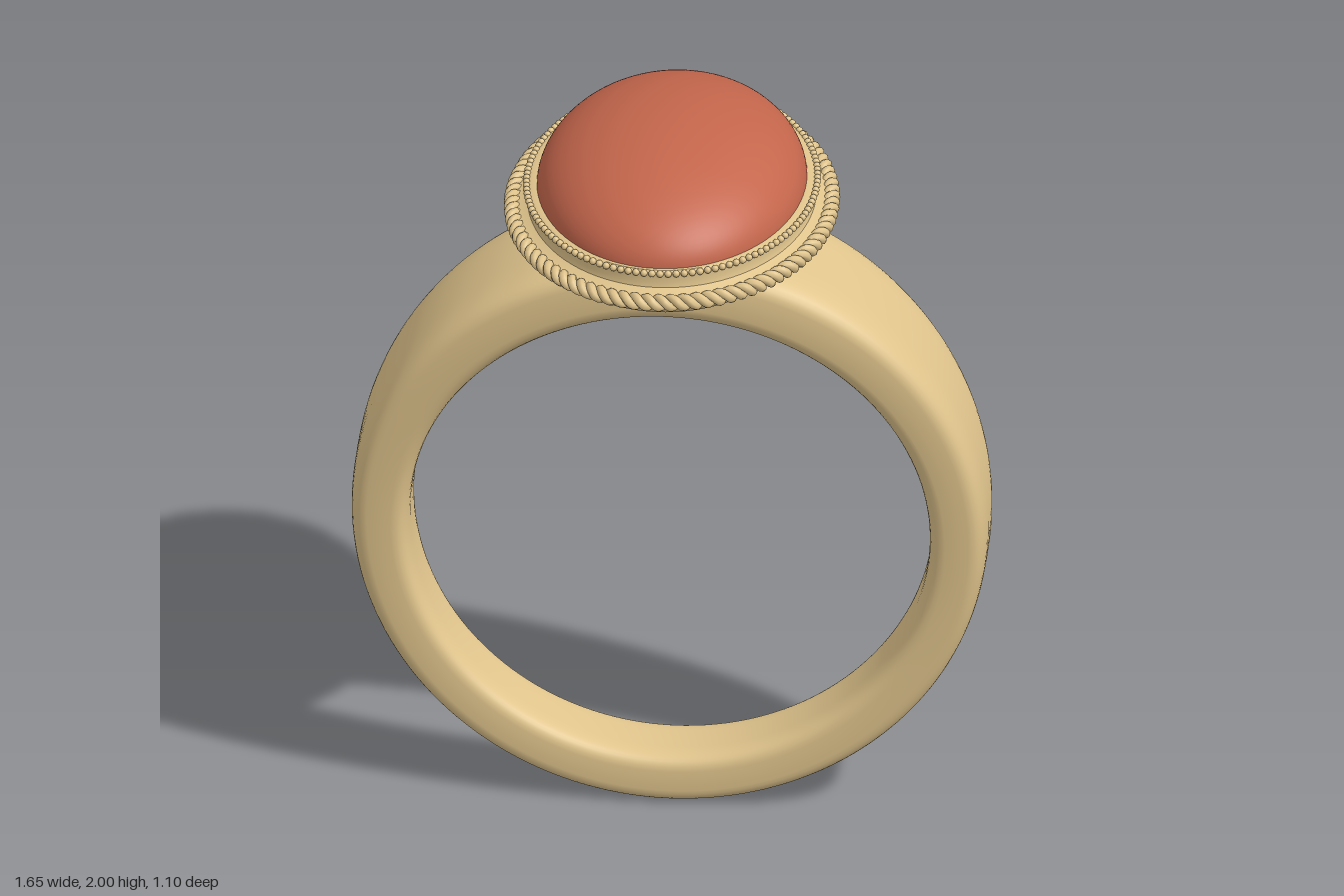
import * as THREE from 'three';
import { mergeVertices, toCreasedNormals } from 'three/addons/utils/BufferGeometryUtils.js';

const gold = new THREE.MeshStandardMaterial({ color: 0xe0c48c });
const red = new THREE.MeshStandardMaterial({ color: 0xc4664c });

function add(parent, name, geometry, material = gold) {
  const mesh = new THREE.Mesh(geometry, material);
  mesh.name = name;
  parent.add(mesh);
  return mesh;
}

// Band: a torus reshaped to a soft rectangular section, wider and thicker towards the top
function bandGeometry() {
  const geo = new THREE.TorusGeometry(1, 0.5, 40, 160);
  const pos = geo.attributes.position, uv = geo.attributes.uv;
  const soft = v => Math.sign(v) * Math.sqrt(Math.abs(v));
  for (let i = 0; i < pos.count; i++) {
    const a = uv.getX(i) * Math.PI * 2, b = uv.getY(i) * Math.PI * 2;
    const u = (1 + Math.sin(a)) / 2;
    const thick = 0.14 + 0.055 * u ** 2.2;
    const half = 0.105 + 0.117 * u ** 1.8;
    const r = 0.675 + thick * (1 + soft(Math.cos(b))) / 2;
    const y = 0.815 + r * Math.sin(a);
    pos.setXYZ(i, r * Math.cos(a), Math.min(y, 1.658), half * soft(Math.sin(b)));
  }
  geo.deleteAttribute('uv');
  geo.deleteAttribute('normal');
  const merged = mergeVertices(geo, 1e-5);
  merged.computeVertexNormals();
  return merged;
}

// Oval turned form from [half width, half depth, height] rows, bottom to top
function ovalGeometry(rows, segments = 96) {
  const geo = new THREE.LatheGeometry(rows.map(([x, , y]) => new THREE.Vector2(x, y)), segments);
  const pos = geo.attributes.position;
  for (let i = 0; i < pos.count; i++) {
    const [x, z, y] = rows[i % rows.length];
    const a = Math.floor(i / rows.length) / segments * Math.PI * 2;
    pos.setXYZ(i, x * Math.sin(a), y, z * Math.cos(a));
  }
  geo.deleteAttribute('uv');
  geo.deleteAttribute('normal');
  return toCreasedNormals(geo, 0.6);
}

// One strand of a twisted wire running around an oval
function strandGeometry(phase) {
  const turns = 46, count = turns * 8, points = [];
  const path = new THREE.EllipseCurve(0, 0, 0.412, 0.528);
  for (let i = 0; i < count; i++) {
    const p = path.getPointAt(i / count);
    const n = new THREE.Vector2(p.x / 0.412 ** 2, p.y / 0.528 ** 2).normalize();
    const a = i / 8 * Math.PI * 2 + phase;
    const out = 0.011 * Math.cos(a);
    points.push(new THREE.Vector3(p.x + n.x * out, 1.743 + 0.011 * Math.sin(a), p.y + n.y * out));
  }
  const curve = new THREE.CatmullRomCurve3(points, true);
  curve.arcLengthDivisions = 2000;
  return new THREE.TubeGeometry(curve, turns * 12, 0.0125, 8, true);
}

export function createModel() {
  const ring = new THREE.Group();
  ring.name = 'ring';

  add(ring, 'band', bandGeometry());

  // Setting: flared neck, coved plate and bezel wall
  const rows = [[0, 0, 1.585], [0.11, 0.27, 1.585]];
  for (let i = 1; i <= 8; i++) {
    const a = i / 8 * Math.PI / 2;
    const out = 0.17 * (1 - Math.cos(a));
    rows.push([0.11 + out, 0.27 + out, 1.585 + 0.088 * Math.sin(a)]);
  }
  rows.push(
    [0.345, 0.46, 1.676], [0.355, 0.47, 1.69], [0.37, 0.487, 1.708], [0.395, 0.51, 1.724],
    [0.41, 0.525, 1.73], [0.41, 0.525, 1.752], [0.39, 0.505, 1.758], [0.374, 0.489, 1.766],
    [0.37, 0.486, 1.78], [0.374, 0.489, 1.807], [0.362, 0.481, 1.813], [0.342, 0.465, 1.813],
    [0.335, 0.458, 1.80], [0, 0, 1.80]);
  add(ring, 'setting', ovalGeometry(rows));

  // Domed oval stone
  const dome = new THREE.SphereGeometry(1, 96, 32, 0, Math.PI * 2, 0, Math.PI / 2);
  dome.scale(0.35, 0.2, 0.473);
  add(ring, 'stone', dome, red).position.y = 1.8;

  // Twisted wire around the plate
  const rope = new THREE.Group();
  rope.name = 'twistedWire';
  for (const phase of [0, Math.PI]) add(rope, 'strand', strandGeometry(phase));
  ring.add(rope);

  // Fine beads along the bezel edge
  const beads = new THREE.Group();
  beads.name = 'beadedEdge';
  const beadGeo = new THREE.SphereGeometry(0.0095, 10, 8);
  const edge = new THREE.EllipseCurve(0, 0, 0.376, 0.491).getSpacedPoints(130);
  for (const p of edge.slice(0, -1)) add(beads, 'bead', beadGeo).position.set(p.x, 1.808, p.y);
  ring.add(beads);

  // Three small balls on each shoulder
  const ballGeo = new THREE.SphereGeometry(0.022, 20, 14);
  for (const side of [-1, 1]) {
    const cluster = new THREE.Group();
    cluster.name = side > 0 ? 'leftShoulderBalls' : 'rightShoulderBalls';
    for (const [x, y, z] of [[0.31, 1.649, 0], [0.348, 1.632, 0.04], [0.348, 1.632, -0.04]])
      add(cluster, 'ball', ballGeo).position.set(side * x, y, z);
    ring.add(cluster);
  }
  return ring;
}
